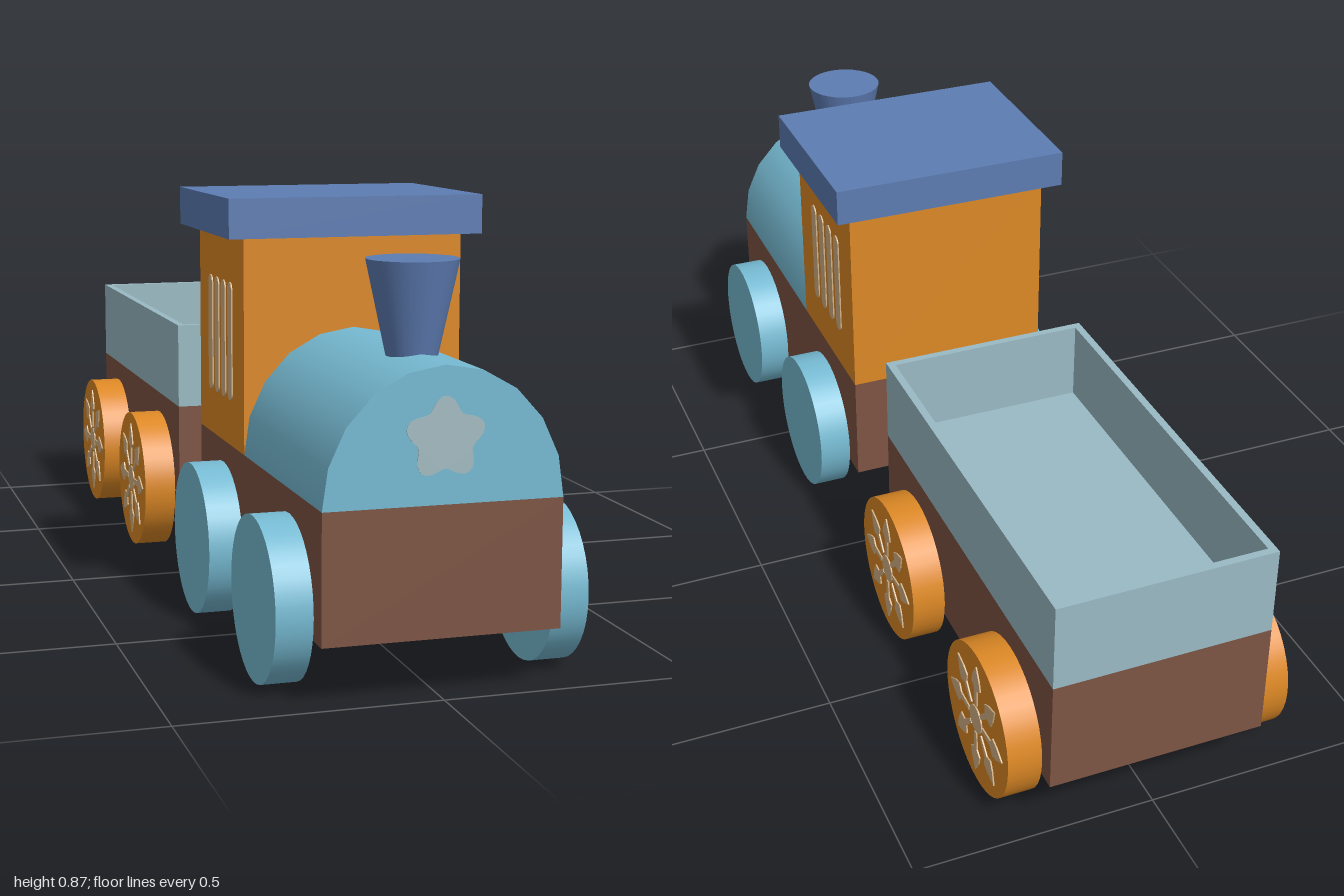
import * as THREE from 'three';

const mat = (name, color) => {
  const m = new THREE.MeshStandardMaterial({ color });
  m.name = name;
  return m;
};

export function createModel() {
  const train = new THREE.Group();
  train.name = 'toyTrain';

  const brown = mat('brown', 0x7d5443);
  const orange = mat('orange', 0xdc8825);
  const lightBlue = mat('light blue', 0x76bad2);
  const darkBlue = mat('dark blue', 0x5d7cb3);
  const paleBlue = mat('pale blue', 0x9abac3);
  const stone = mat('stone', 0xb0a798);
  const cream = mat('cream', 0xd4b287);
  const silver = mat('silver', 0xa3bcc1);

  const CX = -0.004; // centre line of the bodies
  const HALF = 0.227; // half width of the bodies

  const add = (name, geometry, material, x = 0, y = 0, z = 0, parent = train) => {
    const m = new THREE.Mesh(geometry, material);
    m.name = name;
    m.position.set(x, y, z);
    parent.add(m);
    return m;
  };
  // Box given by its extents in y and z, centred across the width
  const block = (name, material, halfW, y0, y1, z0, z1) =>
    add(name, new THREE.BoxGeometry(halfW * 2, y1 - y0, z1 - z0), material, CX, (y0 + y1) / 2, (z0 + z1) / 2);
  // Thin plate facing +x (side 1) or -x (side -1)
  const sidePlate = (shapes, side) =>
    new THREE.ExtrudeGeometry(shapes, { depth: 0.004, bevelEnabled: false, curveSegments: 8 }).rotateY(side * Math.PI / 2);

  // Chassis, cab and roof
  block('engineBase', brown, HALF, 0.116, 0.36, 0.11, 1);
  block('wagonBase', brown, HALF, 0.116, 0.36, -1, -0.11);
  block('cab', orange, HALF, 0.36, 0.793, 0.11, 0.475);
  block('roof', darkBlue, 0.263, 0.793, 0.872, 0.08, 0.5);
  block('coupling', stone, 0.064, 0.225, 0.247, -0.12, 0.12);

  // Boiler: half an elliptical cylinder lying along z
  const boiler = new THREE.CylinderGeometry(1, 1, 0.525, 10, 1, false, -Math.PI / 2, Math.PI);
  boiler.rotateX(-Math.PI / 2).scale(HALF, 0.25, 1);
  add('boiler', boiler, lightBlue, CX, 0.36, 0.7375);

  // Chimney, wider at the top
  add('chimney', new THREE.CylinderGeometry(0.087, 0.046, 0.19, 32), darkBlue, CX, 0.685, 0.82);

  // Soft star on the nose
  const starPoints = [];
  for (let i = 0; i < 60; i++) {
    const a = (i / 60) * Math.PI * 2;
    const r = 0.065 + 0.011 * Math.cos(5 * a);
    starPoints.push(new THREE.Vector2(Math.sin(a) * r, Math.cos(a) * r));
  }
  add('noseStar', new THREE.ExtrudeGeometry(new THREE.Shape(starPoints), { depth: 0.003, bevelEnabled: false }),
    silver, CX, 0.479, 0.999);

  // Open wagon box with thin walls and a floor
  const rect = (path, w, h) => path.moveTo(-w, -h).lineTo(w, -h).lineTo(w, h).lineTo(-w, h).closePath();
  const wall = rect(new THREE.Shape(), HALF, 0.445);
  wall.holes.push(rect(new THREE.Path(), HALF - 0.016, 0.429));
  const walls = new THREE.ExtrudeGeometry(wall, { depth: 0.187, bevelEnabled: false }).rotateX(-Math.PI / 2);
  add('wagonWalls', walls, paleBlue, CX, 0.36, -0.555);
  block('wagonFloor', paleBlue, HALF - 0.01, 0.361, 0.377, -0.99, -0.12);

  // Cab window bars, four rounded strips on each side
  const bars = [-0.08, -0.027, 0.027, 0.08].map((u) => {
    const s = new THREE.Shape();
    s.absarc(u, 0.105, 0.016, 0, Math.PI, false);
    s.absarc(u, -0.105, 0.016, Math.PI, Math.PI * 2, false);
    return s.closePath();
  });

  // Wheel flower: hub and eight arrow-tipped spokes
  const flower = [new THREE.Shape().absarc(0, 0, 0.03, 0, Math.PI * 2, false)];
  const spoke = [[0.034, -0.005], [0.075, -0.007], [0.085, -0.022], [0.105, -0.016], [0.132, 0],
    [0.105, 0.016], [0.085, 0.022], [0.075, 0.007], [0.034, 0.005]];
  for (let i = 0; i < 8; i++) {
    const a = (i * Math.PI) / 4;
    flower.push(new THREE.Shape(spoke.map(([x, y]) =>
      new THREE.Vector2(x, y).rotateAround(new THREE.Vector2(), a))));
  }

  const wheelGeometry = new THREE.CylinderGeometry(0.157, 0.157, 0.07, 40).rotateZ(Math.PI / 2);
  for (const side of [1, -1]) {
    const label = side > 0 ? 'left' : 'right';
    add(label + 'CabWindow', sidePlate(bars, side), cream, CX + side * (HALF - 0.001), 0.575, 0.29);

    for (const [z, material, kind] of [[0.8, lightBlue, 'Engine'], [0.31, lightBlue, 'Engine'],
      [-0.308, orange, 'Wagon'], [-0.816, orange, 'Wagon']]) {
      const wheel = new THREE.Group();
      wheel.name = label + kind + 'Wheel';
      wheel.position.set(-0.002 + side * 0.265, 0.158, z);
      train.add(wheel);
      add('wheelDisc', wheelGeometry, material, 0, 0, 0, wheel);
      if (kind === 'Wagon') add('wheelFlower', sidePlate(flower, side), cream, side * 0.034, 0, 0, wheel);
    }
  }
  return train;
}
